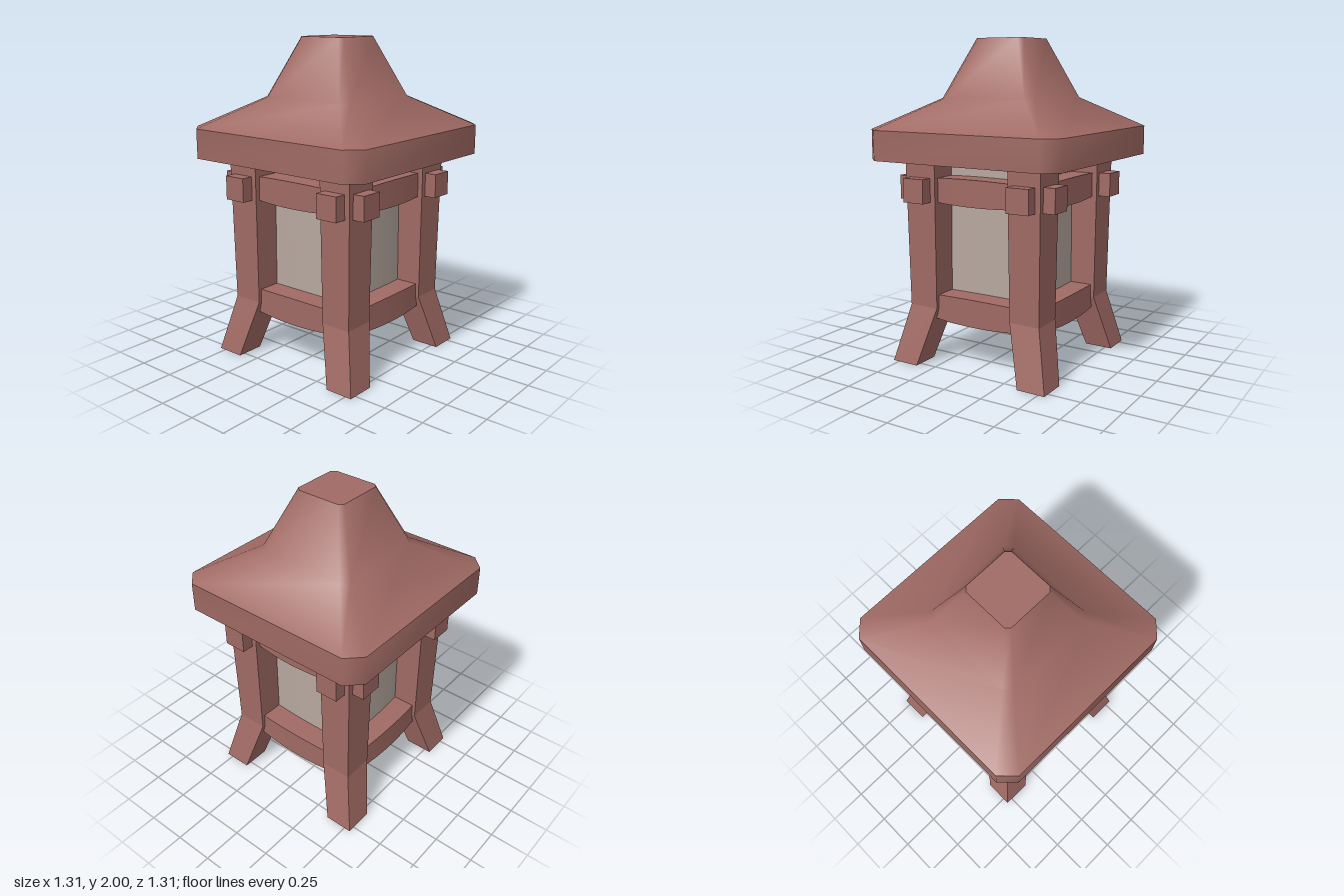
import * as THREE from 'three';
import { toCreasedNormals } from 'three/addons/utils/BufferGeometryUtils.js';

// Closed solid from rings of [x, y, z] points, counter-clockwise seen from the loft's end.
function loft(rings, crease) {
  const pos = [];
  const tri = (a, b, c) => pos.push(...a, ...b, ...c);
  const n = rings[0].length;
  for (let i = 0; i < rings.length - 1; i++) {
    for (let j = 0; j < n; j++) {
      const k = (j + 1) % n;
      const a = rings[i][j], b = rings[i][k], c = rings[i + 1][k], d = rings[i + 1][j];
      tri(a, b, c);
      tri(a, c, d);
    }
  }
  const first = rings[0], last = rings[rings.length - 1];
  for (let j = 1; j < n - 1; j++) {
    tri(last[0], last[j], last[j + 1]);
    tri(first[0], first[j + 1], first[j]);
  }
  const g = new THREE.BufferGeometry();
  g.setAttribute('position', new THREE.Float32BufferAttribute(pos, 3));
  g.computeVertexNormals();
  return toCreasedNormals(g, crease);
}

// Square ring with cut corners at height y.
function roofRing(y, h, c) {
  const m = h - c;
  return [[-m, h], [m, h], [h, m], [h, -m], [m, -h], [-m, -h], [-h, -m], [-h, m]]
    .map(([x, z]) => [x, y, z]);
}

// Beam along x that swells gently between the legs.
function beam(y, halfHeight, halfLength) {
  const inner = 0.27, steps = 10, xs = [-halfLength];
  for (let i = 0; i <= steps; i++) xs.push(-inner + (2 * inner * i) / steps);
  xs.push(halfLength);
  const rings = xs.map((x) => {
    const b = Math.max(0, 1 - (x / inner) ** 2);
    const hh = halfHeight + 0.008 * b;
    const z0 = 0.29 + 0.015 * b, z1 = 0.435 + 0.015 * b;
    return [[x, y - hh, z0], [x, y + hh, z0], [x, y + hh, z1], [x, y - hh, z1]];
  });
  return loft(rings, 0.5);
}

export function createModel() {
  const wood = new THREE.MeshStandardMaterial({ color: 0xa06a64 });
  wood.name = 'redWood';
  const paper = new THREE.MeshStandardMaterial({ color: 0xb6a89f });
  paper.name = 'paper';

  const model = new THREE.Group();
  model.name = 'lantern';
  const add = (name, geometry, material) => {
    const mesh = new THREE.Mesh(geometry, material);
    mesh.name = name;
    model.add(mesh);
    return mesh;
  };

  // Roof: upright rim, shallow eaves, steep flat-topped cap
  add('roof', loft([
    roofRing(1.275, 0.653, 0.09),
    roofRing(1.457, 0.653, 0.09),
    roofRing(1.64, 0.325, 0.045),
    roofRing(2, 0.165, 0.026),
  ], 0.9), wood);

  // Legs with feet splayed outwards at the corners
  const legStations = [[0, 0.452, 0.09], [0.36, 0.36, 0.098], [1.29, 0.363, 0.108]];
  for (const sx of [-1, 1]) {
    for (const sz of [-1, 1]) {
      const rings = legStations.map(([y, c, h]) =>
        [[-1, 1], [1, 1], [1, -1], [-1, -1]].map(([u, v]) => [sx * c + u * h, y, sz * c + v * h]));
      add((sz > 0 ? 'front' : 'back') + (sx > 0 ? 'Left' : 'Right') + 'Leg', loft(rings, 0.2), wood);
    }
  }

  // Upper beams run through the legs, lower rails stop inside them
  const upper = beam(1.095, 0.074, 0.543);
  const lower = beam(0.366, 0.077, 0.29);
  ['front', 'left', 'back', 'right'].forEach((side, i) => {
    add(side + 'Beam', upper, wood).rotation.y = (i * Math.PI) / 2;
    add(side + 'Rail', lower, wood).rotation.y = (i * Math.PI) / 2;
  });

  // Paper shade with slightly bowed sides
  const r = 0.29, bow = 0.33;
  const outline = new THREE.Shape();
  outline.moveTo(-r, -r);
  outline.quadraticCurveTo(0, -bow, r, -r);
  outline.quadraticCurveTo(bow, 0, r, r);
  outline.quadraticCurveTo(0, bow, -r, r);
  outline.quadraticCurveTo(-bow, 0, -r, -r);
  const shade = new THREE.ExtrudeGeometry(outline, { depth: 0.92, bevelEnabled: false, curveSegments: 10 });
  shade.rotateX(-Math.PI / 2);
  shade.translate(0, 0.366, 0);
  add('paperShade', toCreasedNormals(shade, 0.5), paper);

  return model;
}
